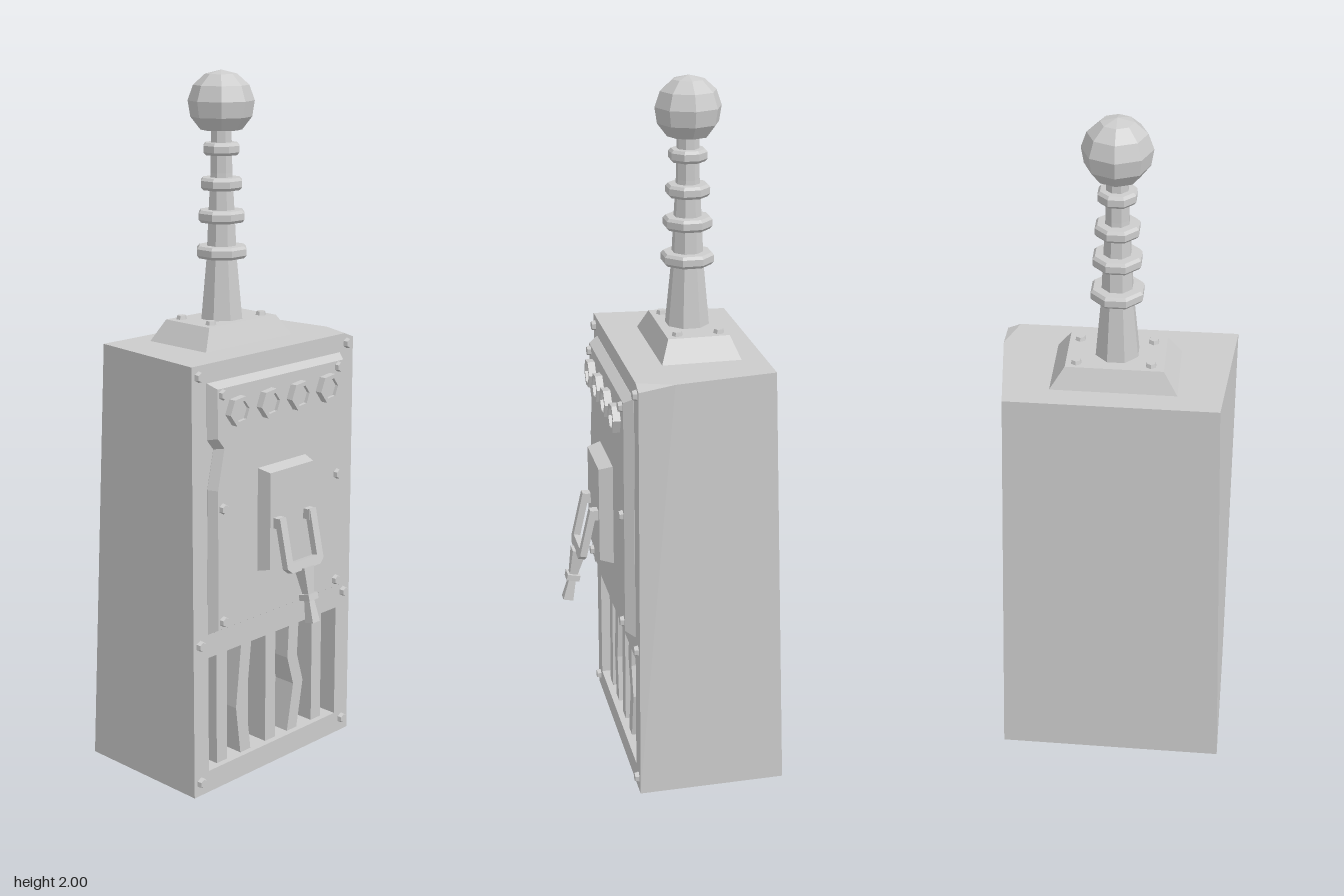
import * as THREE from 'three';

const mat = new THREE.MeshStandardMaterial({ color: 0xcccccc, flatShading: true, side: THREE.DoubleSide });

function add(parent, name, geo, x = 0, y = 0, z = 0) {
  const m = new THREE.Mesh(geo, mat);
  m.name = name;
  m.position.set(x, y, z);
  parent.add(m);
  return m;
}

// Flat-faced geometry from convex polygons, each a counter-clockwise corner list
function polyGeo(polys) {
  const pos = [];
  for (const p of polys)
    for (let i = 1; i < p.length - 1; i++) pos.push(...p[0], ...p[i], ...p[i + 1]);
  const g = new THREE.BufferGeometry();
  g.setAttribute('position', new THREE.Float32BufferAttribute(pos, 3));
  g.computeVertexNormals();
  return g;
}

const shapeOf = pts => new THREE.Shape(pts.map(p => new THREE.Vector2(p[0], p[1])));
const rect = (x0, y0, x1, y1) => [[x0, y0], [x1, y0], [x1, y1], [x0, y1]];

// Side walls between two corner loops
const walls = (a, b) => a.map((p, i) => {
  const j = (i + 1) % a.length;
  return [p, a[j], b[j], b[i]];
});

// Plate whose edges slope from the outline up to a smaller front face
function bevelPlate(pts, height, slope) {
  return new THREE.ExtrudeGeometry(shapeOf(pts), {
    depth: 0.001, bevelEnabled: true, bevelThickness: height, bevelSize: slope,
    bevelOffset: -slope, bevelSegments: 1,
  });
}

// Hexagonal bolt head pointing forward
function bolt(parent, x, y, z, r = 0.016, h = 0.012) {
  const g = new THREE.CylinderGeometry(r * 0.8, r, h, 6).rotateX(Math.PI / 2);
  return add(parent, 'bolt', g, x, y, z + h / 2);
}

function makeBody(root) {
  const F = 0.14;
  const b = [[-0.33, 0, F], [0.328, 0, F], [0.328, 0, -0.285], [-0.328, 0, -0.29]];
  const t = [[-0.33, 1.25, F], [0.327, 1.235, F], [0.29, 1.25, -0.247], [-0.293, 1.25, -0.25]];
  const chipFront = [0.29, 1.25, F], chipSide = [0.325, 1.25, 0.04];
  add(root, 'cabinet', polyGeo([
    [b[1], b[2], t[2], chipSide, t[1]],
    [b[2], b[3], t[3], t[2]],
    [b[3], b[0], t[0], t[3]],
    [t[0], chipFront, chipSide, t[2], t[3]],
    [t[1], chipSide, chipFront],
    [b[3], b[2], b[1], b[0]],
  ]));

  // Front face with the vent opening
  const opening = rect(-0.273, 0.065, 0.268, 0.41);
  const front = shapeOf([b[0], b[1], t[1], chipFront, t[0]]);
  front.holes.push(shapeOf(opening));
  add(root, 'cabinetFront', new THREE.ShapeGeometry(front), 0, 0, F);

  // Recess behind the opening
  const near = opening.map(p => [...p, F]), far = opening.map(p => [...p, 0.05]);
  add(root, 'ventRecess', polyGeo([...walls(near, far), far]));

  // Vent slats, two of them bent
  const straight = [0, 0, 0, 0];
  const bends = [straight, [0, -0.012, -0.022, -0.004], straight, [0, -0.006, 0.02, -0.006], straight];
  const ys = [0.41, 0.3, 0.21, 0.065];
  bends.forEach((bend, i) => {
    const x = -0.202 + i * 0.101, w = 0.021;
    const right = ys.map((y, k) => [x + bend[k] + w, y]);
    const left = ys.map((y, k) => [x + bend[k] - w, y]).reverse();
    const g = new THREE.ExtrudeGeometry(shapeOf([...right, ...left]), { depth: 0.07, bevelEnabled: false });
    add(root, 'ventSlat', g, 0, 0, 0.052);
  });

  for (const x of [-0.304, 0.3]) for (const y of [0.04, 0.455, 1.22]) bolt(root, x, y, F);
}

function makePanel(root) {
  // Control panel with a nick in its right edge
  const outline = [[-0.274, 0.48], [0.268, 0.48], [0.268, 1.197], [-0.274, 1.197],
    [-0.274, 1.04], [-0.25, 1.01], [-0.274, 0.9]];
  add(root, 'controlPanel', bevelPlate(outline, 0.026, 0.015), 0, 0, 0.14);
  for (const x of [-0.24, 0.232]) for (const y of [0.517, 0.845, 1.165]) bolt(root, x, y, 0.166);

  // Row of hexagonal lamps: rim around a sunken face
  const hex = r => Array.from({ length: 6 }, (_, i) => {
    const a = i * Math.PI / 3 + 0.12;
    return [r * Math.cos(a), r * Math.sin(a)];
  });
  const rim = shapeOf(hex(0.043));
  rim.holes.push(shapeOf(hex(0.03)));
  for (let i = 0; i < 4; i++) {
    const x = -0.188 + i * 0.122;
    add(root, 'lampRim', new THREE.ExtrudeGeometry(rim, { depth: 0.022, bevelEnabled: false }), x, 1.113, 0.166);
    add(root, 'lampFace', new THREE.ShapeGeometry(shapeOf(hex(0.031))), x, 1.113, 0.178);
  }

  // Switch plate and hinge lugs
  add(root, 'switchPlate', bevelPlate(rect(-0.103, 0.63, 0.094, 0.932), 0.04, 0.01), 0, 0, 0.165);
  for (const s of [-1, 1])
    add(root, 'hingeLug', new THREE.BoxGeometry(0.028, 0.03, 0.03), -0.004 + s * 0.062, 0.775, 0.215);

  // Forked lever hanging from the lugs
  const lever = new THREE.Group();
  lever.name = 'lever';
  lever.position.set(-0.004, 0.78, 0.222);
  lever.rotation.x = -0.22;
  root.add(lever);
  const fork = shapeOf([[-0.075, 0.01], [-0.075, -0.135], [-0.058, -0.15], [0.058, -0.15], [0.075, -0.135],
    [0.075, 0.01], [0.05, 0.01], [0.05, -0.122], [-0.05, -0.122], [-0.05, 0.01]]);
  add(lever, 'leverFork', new THREE.ExtrudeGeometry(fork, { depth: 0.02, bevelEnabled: false }), 0, 0, -0.01);
  const bar = (name, rTop, rBottom, y0, y1) => add(lever, name,
    new THREE.CylinderGeometry(rTop, rBottom, y0 - y1, 4).rotateY(Math.PI / 4), 0, (y0 + y1) / 2, 0);
  bar('leverNeck', 0.028, 0.016, -0.145, -0.225);
  bar('leverCollar', 0.027, 0.027, -0.222, -0.24);
  bar('leverGrip', 0.014, 0.021, -0.238, -0.305);
}

function makeAntenna(root) {
  // Sloped mounting base
  const y0 = 1.245, y1 = 1.31;
  const low = [[-0.179, y0, 0.042], [0.174, y0, 0.044], [0.174, y0, -0.183], [-0.179, y0, -0.186]];
  const high = [[-0.137, y1, 0.014], [0.13, y1, 0.016], [0.13, y1, -0.157], [-0.137, y1, -0.159]];
  add(root, 'antennaBase', polyGeo([...walls(low, high), high]));
  for (const x of [-0.101, 0.101]) for (const z of [-0.133, -0.016]) {
    const m = bolt(root, x, y1 + 0.005, z);
    m.rotation.x = -Math.PI / 2;
    m.position.z = z;
  }

  // Tapered mast, insulator rings and ball
  const cx = -0.005, cz = -0.068;
  const lathe = (name, pts, turn) => {
    const g = new THREE.LatheGeometry(pts.map(p => new THREE.Vector2(p[0], p[1])), 8);
    add(root, name, g.rotateY(turn), cx, 0, cz);
  };
  lathe('antennaMast', [[0.063, 1.305], [0.046, 1.48], [0.04, 1.6], [0.033, 1.72], [0.03, 1.86]], Math.PI / 8);
  [[1.5, 0.075], [1.6, 0.069], [1.69, 0.062], [1.786, 0.054]].forEach(([y, r]) =>
    lathe('antennaRing', [[0.03, y - 0.018], [r - 0.007, y - 0.017], [r, y - 0.009], [r, y + 0.009],
      [r - 0.007, y + 0.017], [0.03, y + 0.018]], Math.PI / 8));
  const ball = [[0, 1.838]];
  for (let i = 0; i <= 5; i++) {
    const a = -0.9 + i * (Math.PI / 2 + 0.9) / 5;
    ball.push([0.093 * Math.cos(a), 1.909 + 0.091 * Math.sin(a)]);
  }
  lathe('antennaBall', ball, 0);
}

export function createModel() {
  const root = new THREE.Group();
  root.name = 'controlBox';
  makeBody(root);
  makePanel(root);
  makeAntenna(root);
  return root;
}
